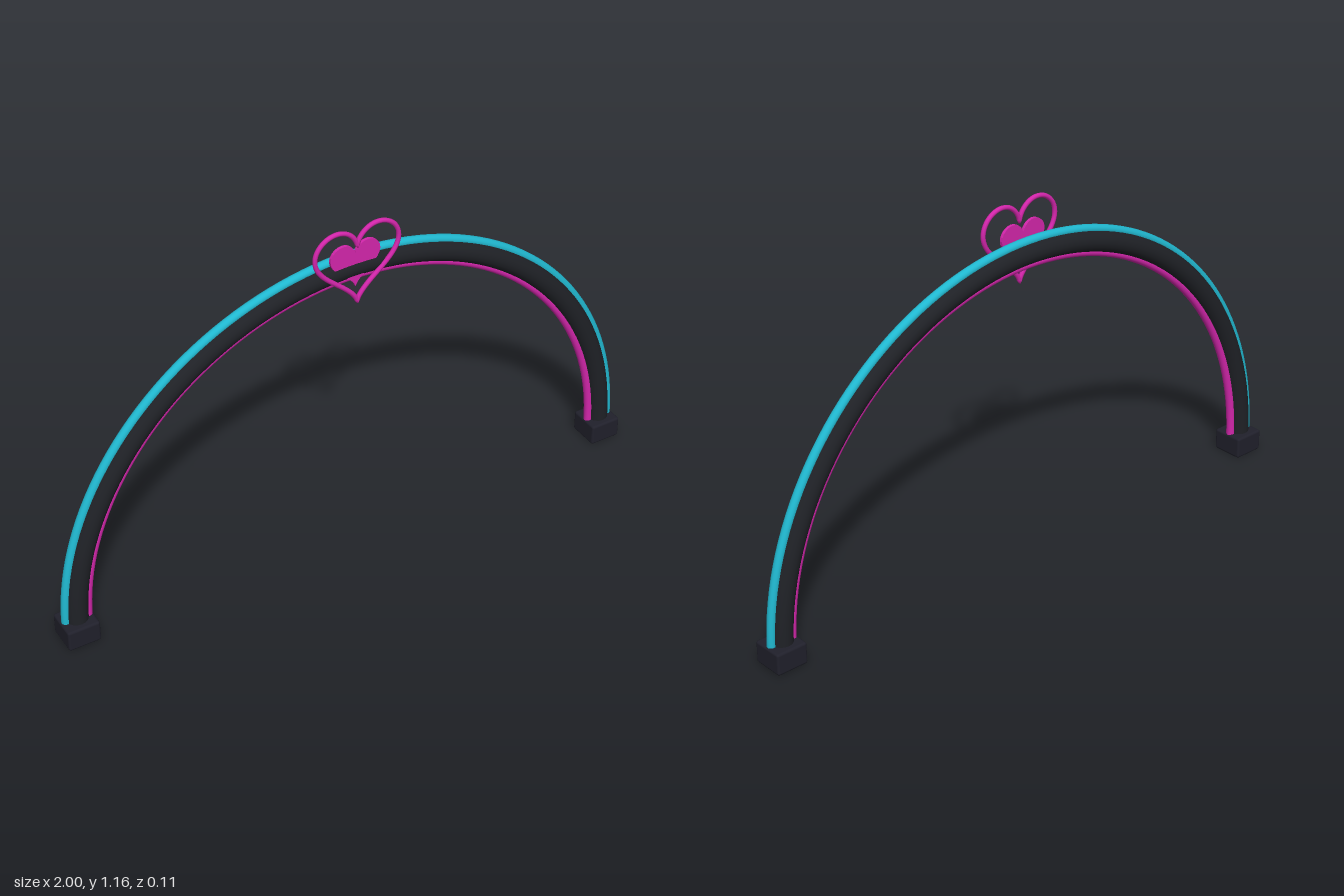
import * as THREE from 'three';
import { RoundedBoxGeometry } from 'three/addons/geometries/RoundedBoxGeometry.js';

const paint = (name, color) => {
  const material = new THREE.MeshStandardMaterial({ color });
  material.name = name;
  return material;
};

// Classic heart curve, tip down, starting at the notch
const heartPoints = (scale, count) => Array.from({ length: count }, (_, i) => {
  const t = (i / count) * Math.PI * 2;
  return new THREE.Vector2(
    16 * Math.sin(t) ** 3,
    13 * Math.cos(t) - 5 * Math.cos(2 * t) - 2 * Math.cos(3 * t) - Math.cos(4 * t)
  ).multiplyScalar(scale);
});

export function createModel() {
  const group = new THREE.Group();
  const black = paint('arch black', 0x1f2126);
  const charcoal = paint('foot charcoal', 0x20202b);
  const cyan = paint('cyan', 0x20b8d0);
  const magenta = paint('magenta', 0xd426ac);

  const add = (name, geometry, material, x, y, z) => {
    const mesh = new THREE.Mesh(geometry, material);
    mesh.name = name;
    mesh.position.set(x, y, z);
    group.add(mesh);
  };

  // Half-ring arch with a thin coloured strip outside and inside
  const arch = (name, radius, tube, material) =>
    add(name, new THREE.TorusGeometry(radius, tube, 16, 80, Math.PI), material, 0, 0.055, 0);
  arch('arch', 0.946, 0.035, black);
  arch('outerStrip', 0.982, 0.014, cyan);
  arch('innerStrip', 0.91, 0.014, magenta);

  // Feet
  for (const [name, side] of [['leftFoot', 1], ['rightFoot', -1]]) {
    add(name, new RoundedBoxGeometry(0.106, 0.072, 0.106, 2, 0.008), charcoal, side * 0.947, 0.036, 0);
  }

  // Open heart outline in front of the crown
  const path = new THREE.CatmullRomCurve3(
    heartPoints(0.00875, 64).map(p => new THREE.Vector3(p.x, p.y, 0)), true);
  add('heartOutline', new THREE.TubeGeometry(path, 128, 0.0075, 8, true), magenta, 0, 1.045, 0.036);

  // Small solid heart set into the crown
  const solid = new THREE.ExtrudeGeometry(new THREE.Shape(heartPoints(0.0052, 48)),
    { depth: 0.01, bevelEnabled: false });
  add('solidHeart', solid, magenta, 0, 1.031, 0.018);

  return group;
}
